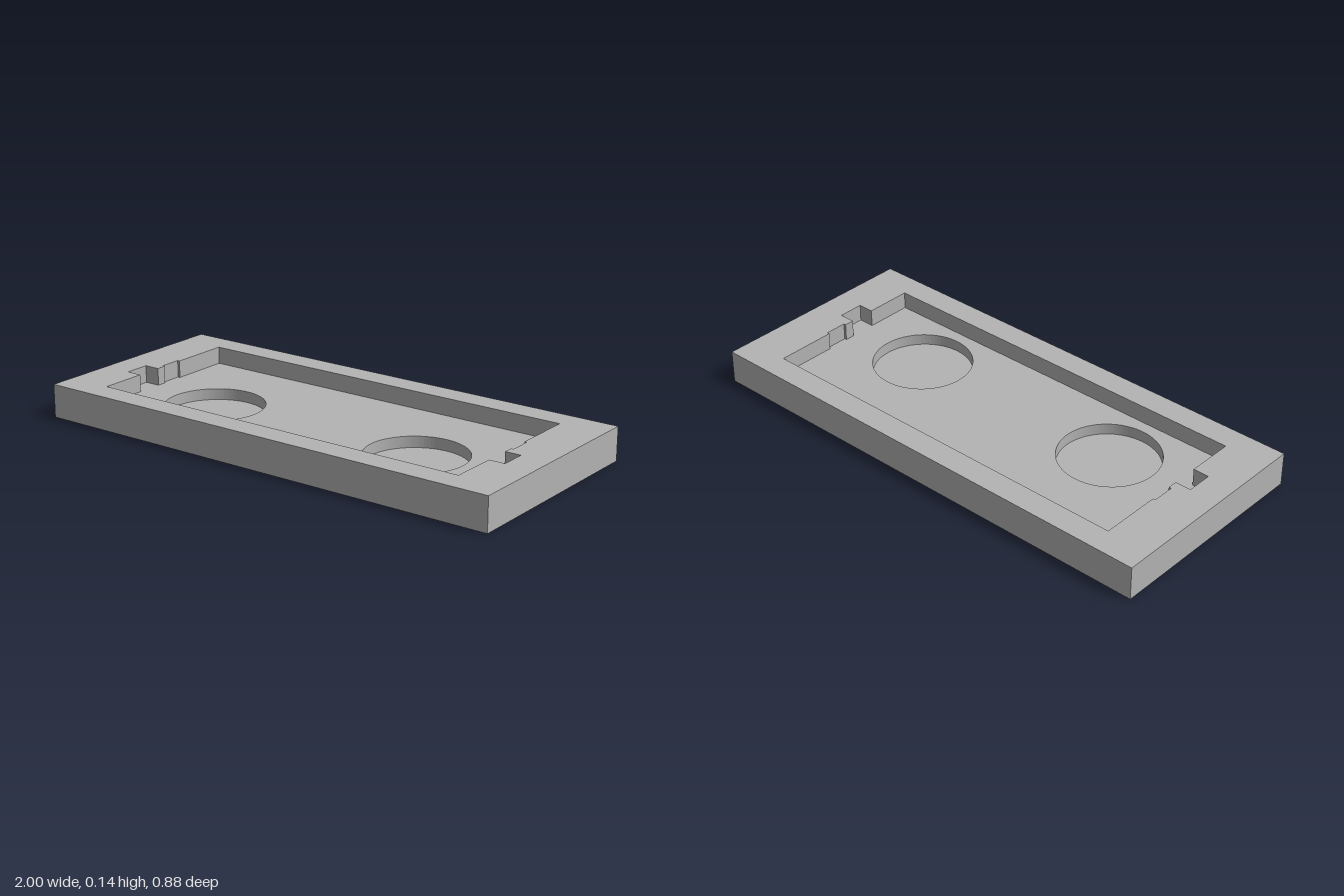
import * as THREE from 'three';

const WIDTH = 2, DEPTH = 0.88;
const HEIGHT = 0.135, POCKET_FLOOR = 0.065, WELL_FLOOR = 0.02;

// Rectangular slab outline, drawn in x and z
function outline() {
  const x = WIDTH / 2, z = DEPTH / 2;
  return new THREE.Shape([[-x, -z], [x, -z], [x, z], [-x, z]].map(p => new THREE.Vector2(...p)));
}

// One horizontal layer between two heights
function layer(name, shape, bottom, top, material) {
  const geometry = new THREE.ExtrudeGeometry(shape, { depth: top - bottom, bevelEnabled: false, curveSegments: 48 });
  geometry.rotateX(Math.PI / 2).translate(0, top, 0);
  const mesh = new THREE.Mesh(geometry, material);
  mesh.name = name;
  return mesh;
}

export function createModel() {
  const group = new THREE.Group();
  group.name = 'recessedTray';
  const grey = new THREE.MeshStandardMaterial({ color: 0xb3b3b3 });
  grey.name = 'grey';

  // Solid bottom
  group.add(layer('base', outline(), 0, WELL_FLOOR, grey));

  // Pocket floor with two round wells
  const floor = outline();
  for (const x of [-0.475, 0.475]) {
    floor.holes.push(new THREE.Path().absarc(x, 0.09, 0.198, 0, Math.PI * 2, true));
  }
  group.add(layer('pocketFloor', floor, WELL_FLOOR, POCKET_FLOOR, grey));

  // Rim around the pocket, with a shallow and a deep notch at each end
  const side = [
    [0.815, -0.337], [0.815, -0.09], [0.825, -0.09], [0.825, 0], [0.815, 0],
    [0.815, 0.04], [0.88, 0.04], [0.88, 0.145], [0.815, 0.145], [0.815, 0.337],
  ];
  const mirrored = side.map(([x, z]) => [-x, z]).reverse();
  const rim = outline();
  rim.holes.push(new THREE.Path([...side, ...mirrored].map(p => new THREE.Vector2(...p))));
  group.add(layer('rim', rim, POCKET_FLOOR, HEIGHT, grey));

  return group;
}
